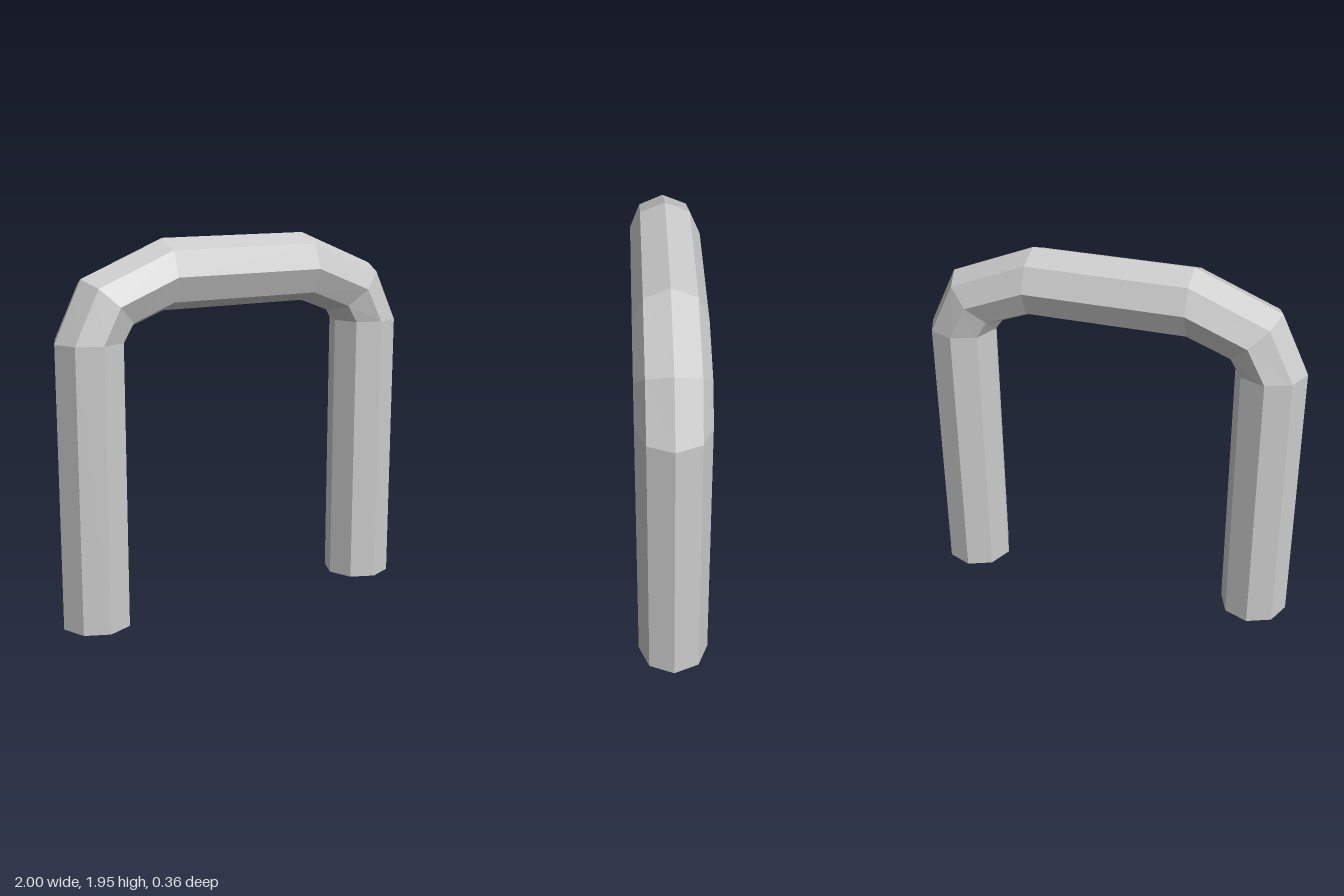
import * as THREE from 'three';

const SIDES = 8;
const DEPTH = 0.18;

// Mitred joints of the right-hand half: [outer x, outer y, inner x, inner y]
const half = [
  [1, 0, 0.64, 0],
  [1, 1.46, 0.64, 1.46],
  [0.855, 1.765, 0.6, 1.515],
  [0.415, 1.945, 0.415, 1.585],
];

// Octagonal ring spanning the outer and inner edge of a joint
function ring([ox, oy, ix, iy]) {
  return Array.from({ length: SIDES }, (_, j) => {
    const a = (j / SIDES) * Math.PI * 2;
    const t = (1 - Math.cos(a)) / 2;
    return [ox + (ix - ox) * t, oy + (iy - oy) * t, DEPTH * Math.sin(a)];
  });
}

export function createModel() {
  // Mirror the joints to complete the arch from foot to foot
  const mirrored = half.map(([ox, oy, ix, iy]) => [-ox, oy, -ix, iy]).reverse();
  const rings = [...half, ...mirrored].map(ring);
  const positions = [];
  const tri = (a, b, c) => positions.push(...a, ...b, ...c);

  // Faceted tube walls
  for (let i = 0; i < rings.length - 1; i++) {
    for (let j = 0; j < SIDES; j++) {
      const k = (j + 1) % SIDES;
      const p = rings[i][j], q = rings[i][k], r = rings[i + 1][k], s = rings[i + 1][j];
      tri(p, s, r);
      tri(p, r, q);
    }
  }

  // Flat feet
  const first = rings[0], last = rings[rings.length - 1];
  for (let j = 1; j < SIDES - 1; j++) {
    tri(first[0], first[j], first[j + 1]);
    tri(last[0], last[j + 1], last[j]);
  }

  const geometry = new THREE.BufferGeometry();
  geometry.setAttribute('position', new THREE.Float32BufferAttribute(positions, 3));
  geometry.computeVertexNormals();

  const arch = new THREE.Mesh(
    geometry,
    new THREE.MeshStandardMaterial({ color: 0xcccccc, flatShading: true })
  );
  arch.name = 'archTube';

  const group = new THREE.Group();
  group.name = 'arch';
  group.add(arch);
  return group;
}
